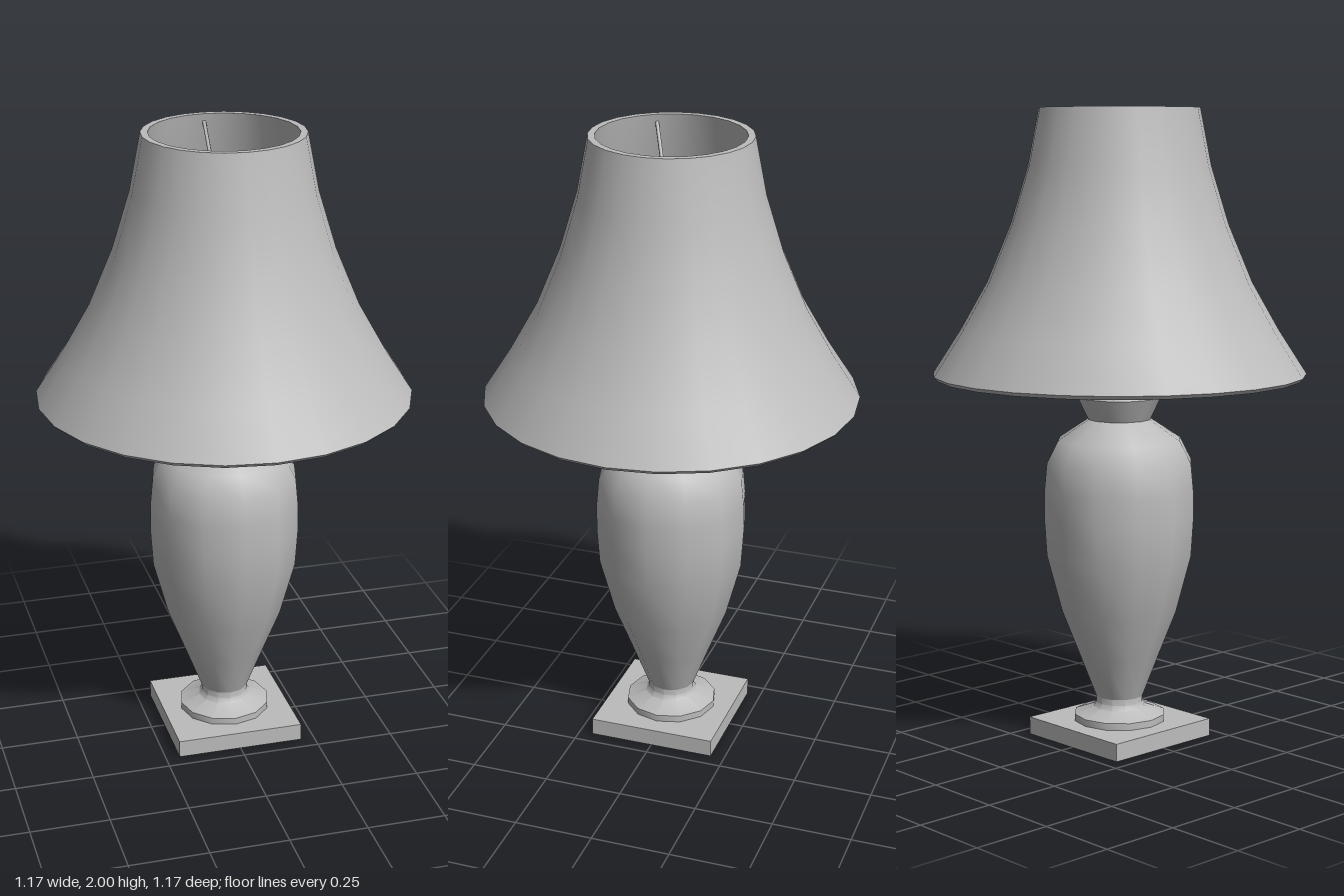
import * as THREE from 'three';
import { toCreasedNormals } from 'three/addons/utils/BufferGeometryUtils.js';

export function createModel() {
  const group = new THREE.Group();
  const grey = new THREE.MeshStandardMaterial({ color: 0xbcbcbc });
  grey.name = 'plain grey';

  const add = (name, geometry) => {
    const mesh = new THREE.Mesh(geometry, grey);
    mesh.name = name;
    group.add(mesh);
    return mesh;
  };
  const v = (x, y, z) => new THREE.Vector3(x, y, z);
  // Turned part from [radius, height] pairs, listed bottom to top
  const turned = (name, profile, sides, crease = 0.7) => add(name, toCreasedNormals(
    new THREE.LatheGeometry(profile.map(([r, y]) => new THREE.Vector2(r, y)), sides), crease));
  // Straight thin rod between two points
  const rod = (name, a, b, radius) =>
    add(name, new THREE.TubeGeometry(new THREE.LineCurve3(a, b), 1, radius, 6));

  // Square plinth
  add('plinth', new THREE.BoxGeometry(0.41, 0.056, 0.41)).position.y = 0.028;

  // Vase-shaped body with foot and flared neck
  turned('foot', [[0.147, 0.05], [0.147, 0.078], [0.085, 0.1], [0.076, 0.115], [0.076, 0.145]], 12);
  turned('body', [[0.076, 0.135], [0.13, 0.275], [0.187, 0.42], [0.235, 0.6], [0.243, 0.72],
    [0.242, 0.81], [0.234, 0.895], [0.198, 0.965], [0.1, 1.03]], 12, 0.9);
  turned('neck', [[0.098, 1.025], [0.134, 1.1], [0.12, 1.12], [0, 1.12]], 12);

  // Stem, socket, switch and bulb
  turned('stem', [[0.032, 1.11], [0.032, 1.18]], 12);
  turned('socket', [[0, 1.175], [0.035, 1.175], [0.047, 1.19], [0.047, 1.265], [0.038, 1.275], [0, 1.275]], 12);
  rod('switchStem', v(0, 1.21, 0.04), v(0, 1.21, 0.1), 0.007);
  add('switchKnob', new THREE.SphereGeometry(0.015, 8, 6)).position.set(0, 1.21, 0.1);
  turned('bulb', [[0.04, 1.27], [0.055, 1.3], [0.09, 1.35], [0.102, 1.41], [0.095, 1.46],
    [0.07, 1.5], [0.035, 1.525], [0, 1.53]], 12, 1);

  // Wire harp around the bulb
  for (const s of [-1, 1]) {
    const path = new THREE.CatmullRomCurve3([v(0.03 * s, 1.18, 0), v(0.1 * s, 1.18, 0),
      v(0.11 * s, 1.25, 0), v(0.138 * s, 1.42, 0), v(0.12 * s, 1.6, 0),
      v(0.07 * s, 1.71, 0), v(0, 1.74, 0)]);
    add('harp', new THREE.TubeGeometry(path, 24, 0.006, 6));
  }

  // Spider ring and three sloping spokes holding the shade
  const ring = add('spiderRing', new THREE.TorusGeometry(0.045, 0.007, 6, 16));
  ring.rotation.x = Math.PI / 2;
  ring.position.y = 1.75;
  for (let i = 0; i < 3; i++) {
    const a = Math.PI + i * Math.PI * 2 / 3;
    rod('spiderSpoke', v(0.045 * Math.sin(a), 1.75, 0.045 * Math.cos(a)),
      v(0.232 * Math.sin(a), 1.975, 0.232 * Math.cos(a)), 0.006);
  }

  // Bell shade: outside up, over the rim, inside down
  turned('shade', [[0.575, 1.163], [0.587, 1.175], [0.5, 1.31], [0.415, 1.46], [0.34, 1.64], [0.285, 1.82],
    [0.25, 2], [0.228, 2], [0.265, 1.82], [0.32, 1.64], [0.395, 1.46], [0.48, 1.31],
    [0.565, 1.175], [0.575, 1.163]], 24, 0.6);

  return group;
}
